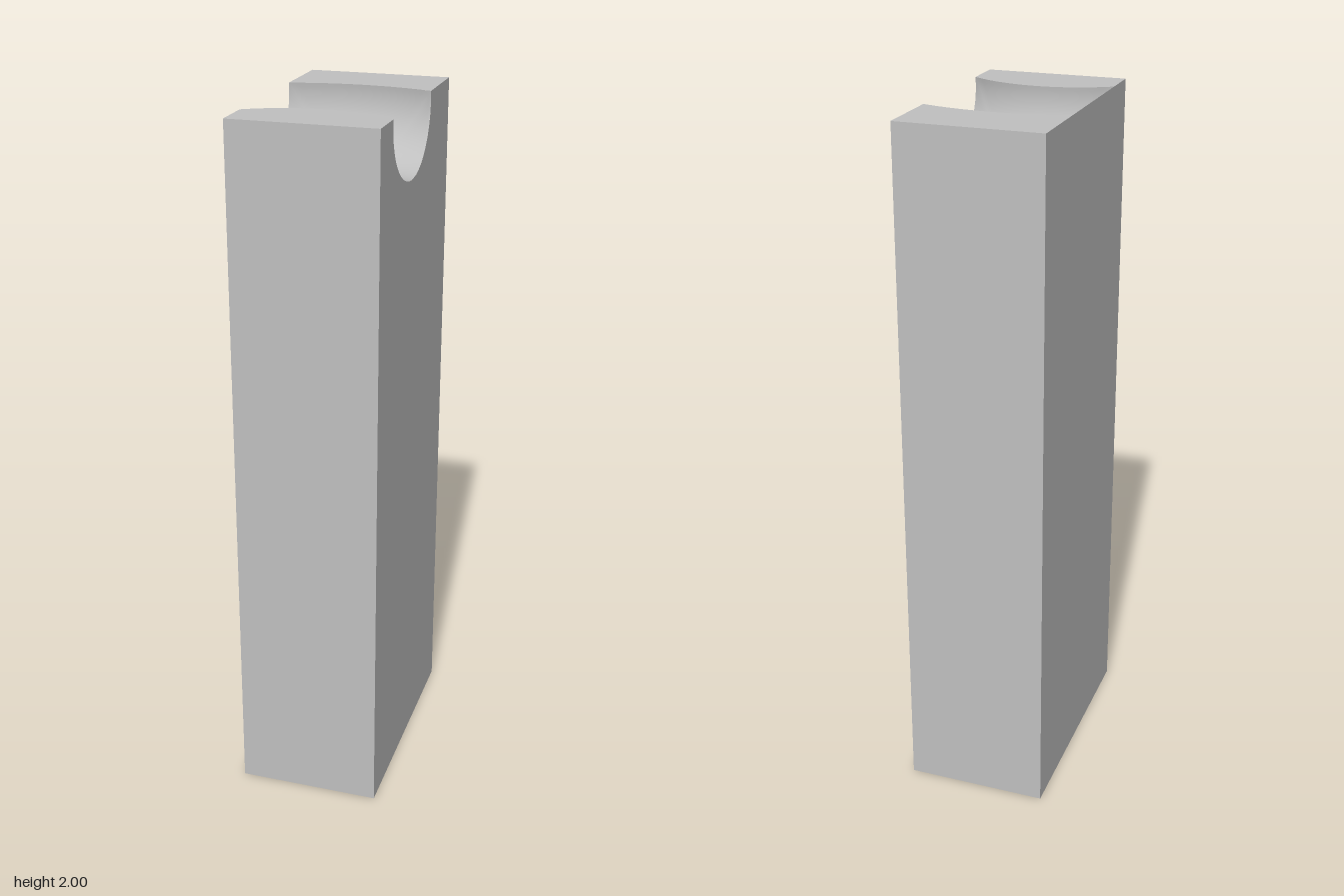
import * as THREE from 'three';
import { mergeVertices } from 'three/addons/utils/BufferGeometryUtils.js';

const W = 0.205, D = 0.3575, H = 2;          // half width, half depth, height
const R = 0.535, r = 0.177, CY = 1.977;      // curved groove: sweep radius, tube radius, tube height
const HOLE = 0.0975, N = 96;
const T1 = Math.asin((H - CY) / r), T0 = -Math.PI - T1; // tube angles where the groove meets the top

// Point on the groove at width u and tube angle t
const groovePoint = (u, t) => {
  const rho = R + r * Math.cos(t);
  return new THREE.Vector3(u, CY + r * Math.sin(t), R - Math.sqrt(rho * rho - u * u));
};

// Tube angle of the groove floor below plan position (u, v)
const grooveAngle = (u, v) => -Math.acos((Math.hypot(u, R - v) - R) / r);

// Surface from a rule over a grid, facing di x dj
function grid(fn, ni, nj) {
  const pos = [], index = [];
  for (let i = 0; i <= ni; i++) {
    for (let j = 0; j <= nj; j++) pos.push(...fn(i / ni, j / nj).toArray());
  }
  for (let i = 0; i < ni; i++) {
    for (let j = 0; j < nj; j++) {
      const a = i * (nj + 1) + j, b = a + nj + 1;
      index.push(a, b, b + 1, a, b + 1, a + 1);
    }
  }
  const g = new THREE.BufferGeometry();
  g.setAttribute('position', new THREE.Float32BufferAttribute(pos, 3));
  g.setIndex(index);
  const merged = mergeVertices(g, 1e-5);
  merged.computeVertexNormals();
  return merged;
}

// Rim of the bore on the groove floor, as width and tube angle
const rim = (a) => {
  const u = HOLE * Math.cos(a), v = -HOLE * Math.sin(a);
  return { u, v, t: grooveAngle(u, v) };
};

export function createModel() {
  const model = new THREE.Group();
  model.name = 'notchedBlock';
  const grey = new THREE.MeshStandardMaterial({ color: 0xc0c0c0 });
  grey.name = 'grey';
  const add = (name, geometry) => {
    const mesh = new THREE.Mesh(geometry, grey);
    mesh.name = name;
    model.add(mesh);
    return mesh;
  };

  // Groove floor, spreading from the bore rim to its rectangular limits
  add('groove', grid((k, f) => {
    const a = f * Math.PI * 2, c = Math.cos(a), s = Math.sin(a);
    const m = Math.max(Math.abs(c), Math.abs(s));
    const p = rim(a);
    const t = T0 + (T1 - T0) * (s / m + 1) / 2;
    return groovePoint(THREE.MathUtils.lerp(p.u, W * c / m, k), THREE.MathUtils.lerp(p.t, t, k));
  }, 20, N));

  // Vertical bore from the underside up to the groove
  add('bore', grid((k, f) => {
    const p = rim(f * Math.PI * 2);
    return new THREE.Vector3(p.u, k * groovePoint(p.u, p.t).y, p.v);
  }, 1, N));

  // Flat tops in front of and behind the groove
  for (const [name, t, front] of [['frontTop', T0, true], ['backTop', T1, false]]) {
    add(name, grid((i, j) => {
      const p = groovePoint((j * 2 - 1) * W, t);
      p.z = front ? THREE.MathUtils.lerp(p.z, D, i) : THREE.MathUtils.lerp(-D, p.z, i);
      return p;
    }, 1, 24));
  }

  // Side walls with the groove outline cut out
  for (const side of [1, -1]) {
    const outline = [new THREE.Vector2(-side * D, H), new THREE.Vector2(-side * D, 0),
      new THREE.Vector2(side * D, 0), new THREE.Vector2(side * D, H)];
    const cut = [];
    for (let i = 0; i <= 48; i++) {
      const p = groovePoint(W, T0 + (T1 - T0) * i / 48);
      cut.push(new THREE.Vector2(-side * p.z, p.y));
    }
    if (side > 0) cut.reverse();
    const wall = add(side > 0 ? 'leftWall' : 'rightWall',
      new THREE.ShapeGeometry(new THREE.Shape(
        side > 0 ? [...outline, ...cut] : [...outline.reverse(), ...cut.reverse()])));
    wall.rotation.y = side * Math.PI / 2;
    wall.position.x = side * W;
  }

  // Front and back walls
  for (const side of [1, -1]) {
    const wall = add(side > 0 ? 'frontWall' : 'backWall', new THREE.PlaneGeometry(W * 2, H));
    wall.position.set(0, H / 2, side * D);
    if (side < 0) wall.rotation.y = Math.PI;
  }

  // Underside with the bore opening
  const base = new THREE.Shape([[-W, -D], [W, -D], [W, D], [-W, D]].map(([x, y]) => new THREE.Vector2(x, y)));
  const opening = [];
  for (let i = 0; i < N; i++) {
    const p = rim(i / N * Math.PI * 2);
    opening.push(new THREE.Vector2(p.u, p.v));
  }
  base.holes.push(new THREE.Path(opening));
  add('underside', new THREE.ShapeGeometry(base)).rotation.x = Math.PI / 2;

  // The block stands slightly turned
  model.rotation.y = -0.0748;
  const root = new THREE.Group();
  root.name = 'model';
  root.add(model);
  return root;
}
